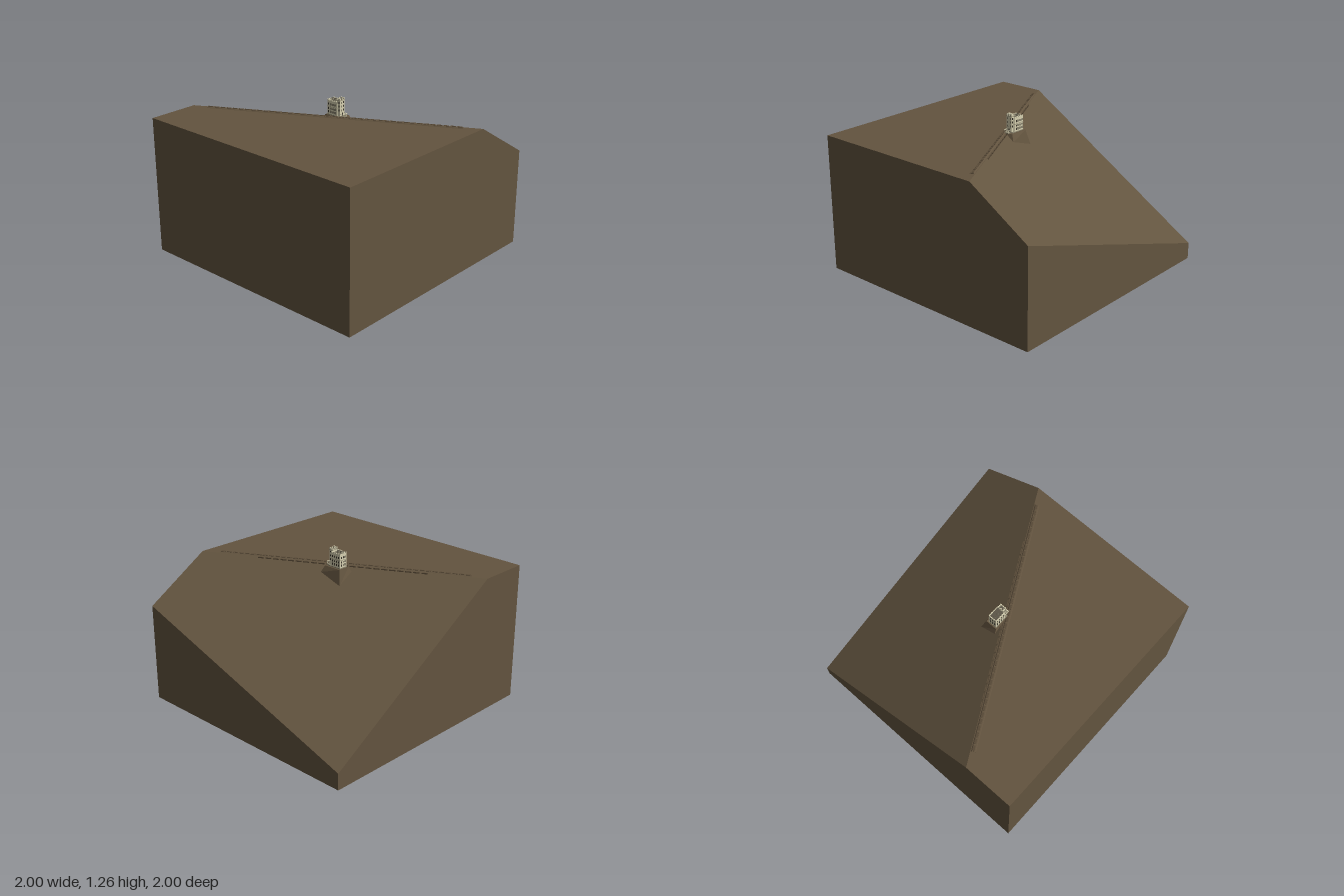
import * as THREE from 'three';

const paint = (name, color) => {
  const m = new THREE.MeshStandardMaterial({ color });
  m.name = name;
  return m;
};

const TOP = 1.11;
const ridgeZ = (x) => 0.055 - 0.535 * x;
// Ground height: flat in front of the ridge, falling away behind it
const groundY = (x, z) => TOP - Math.max(0, ridgeZ(x) - z) * 0.615;

// Flat-faced solid from corner points and counter-clockwise polygons
function solid(points, faces) {
  const pos = [];
  for (const f of faces)
    for (let i = 1; i < f.length - 1; i++)
      pos.push(...points[f[0]], ...points[f[i]], ...points[f[i + 1]]);
  const g = new THREE.BufferGeometry();
  g.setAttribute('position', new THREE.Float32BufferAttribute(pos, 3));
  g.computeVertexNormals();
  return g;
}

export function createModel() {
  const earth = paint('earth', 0x63543f);
  const bankEarth = paint('bankEarth', 0x574936);
  const plaster = paint('plaster', 0xd6d0b0);
  const stone = paint('stone', 0x8d8770);
  const glass = paint('darkOpening', 0x3a352b);
  const roofing = paint('roofing', 0x5c5648);

  const model = new THREE.Group();
  const add = (parent, name, geo, mat, x = 0, y = 0, z = 0) => {
    const m = new THREE.Mesh(geo, mat);
    m.name = name;
    m.position.set(x, y, z);
    parent.add(m);
    return m;
  };
  // Box given by its limits
  const block = (parent, name, mat, x0, x1, y0, y1, z0, z1) =>
    add(parent, name, new THREE.BoxGeometry(x1 - x0, y1 - y0, z1 - z0), mat,
      (x0 + x1) / 2, (y0 + y1) / 2, (z0 + z1) / 2);

  // Hill block with a diagonal ridge
  const hill = [
    [-1, 0, 1], [1, 0, 1], [1, 0, -1], [-1, 0, -1],
    [-1, TOP, 1], [1, TOP, 1], [1, TOP, ridgeZ(1)], [-1, TOP, ridgeZ(-1)],
    [1, groundY(1, -1), -1], [-1, groundY(-1, -1), -1],
  ];
  add(model, 'hill', solid(hill, [
    [0, 1, 5, 4], [1, 2, 8, 6, 5], [2, 3, 9, 8], [3, 0, 4, 7, 9],
    [4, 5, 6, 7], [7, 6, 8, 9], [3, 2, 1, 0],
  ]), earth);

  // Sloped earth footing carrying the house out over the slope
  const ring = (x0, x1, z0, z1, h) =>
    [[x0, z1], [x1, z1], [x1, z0], [x0, z0]].map(([x, z]) => [x, h(x, z), z]);
  const footing = [
    ...ring(-0.115, 0.085, -0.07, 0.065, (x, z) => groundY(x, z) - 0.002),
    ...ring(-0.088, 0.065, -0.042, 0.055, () => TOP + 0.002),
  ];
  const footingFaces = [[4, 5, 6, 7]];
  for (let i = 0; i < 4; i++) {
    const j = (i + 1) % 4;
    footingFaces.push([i, j, j + 4, i + 4]);
  }
  add(model, 'footing', solid(footing, footingFaces), earth);

  // Low bank following the ridge, with a broken crest
  const bank = new THREE.Group();
  bank.name = 'ridgeBank';
  bank.position.set(0, TOP, 0.08);
  bank.rotation.y = Math.atan(0.535);
  model.add(bank);
  const profile = new THREE.Shape([
    new THREE.Vector2(-0.02, -0.002), new THREE.Vector2(0.02, -0.002),
    new THREE.Vector2(0.01, 0.007), new THREE.Vector2(-0.014, 0.007),
  ]);
  const bankGeo = new THREE.ExtrudeGeometry(profile, { depth: 2, bevelEnabled: false });
  bankGeo.translate(0, 0, -1).rotateY(-Math.PI / 2).rotateY(Math.PI);
  add(bank, 'bank', bankGeo, earth);
  for (let i = 0; i < 40; i++) {
    const x = -0.975 + i * 0.05;
    block(bank, 'crestStone', bankEarth, x - 0.019, x + 0.019, 0, 0.01, -0.01, 0.006);
  }
  // Shorter broken course just below the edge of the slope
  for (let i = 0; i < 22; i++) {
    const x = -0.65 + i * 0.062;
    block(bank, 'lowerCourse', bankEarth, x - 0.024, x + 0.024, -0.015, 0.001, -0.034, -0.026);
  }

  // House
  const house = new THREE.Group();
  house.name = 'house';
  house.position.y = TOP;
  model.add(house);
  const X0 = -0.077, X1 = 0.02, Z0 = -0.026, Z1 = 0.046, H = 0.108;
  block(house, 'plinth', stone, X0 - 0.003, 0.046, 0, 0.008, Z0 - 0.003, Z1 + 0.003);
  block(house, 'mainBody', plaster, X0, X1, 0, H, Z0, Z1);
  block(house, 'flatRoof', roofing, X0 + 0.005, X1, H, H + 0.003, Z0 + 0.005, Z1 - 0.005);
  block(house, 'stringCourse', stone, X0 - 0.002, X1 + 0.001, 0.066, 0.069, Z0 - 0.002, Z1 + 0.002);

  // Parapet with battlements
  for (const z of [Z0, Z1 - 0.005]) {
    block(house, 'parapet', plaster, X0, X1, H, H + 0.008, z, z + 0.005);
    for (let i = 0; i < 5; i++) {
      const x = X0 + i * 0.0205;
      block(house, 'battlement', plaster, x, x + 0.012, H + 0.008, H + 0.016, z, z + 0.005);
    }
  }
  block(house, 'endParapet', plaster, X0, X0 + 0.005, H, H + 0.008, Z0, Z1);
  for (const z of [0, 0.02])
    block(house, 'battlement', plaster, X0, X0 + 0.005, H + 0.008, H + 0.016, z, z + 0.011);

  // Chimneys
  for (const x of [-0.055, -0.025]) {
    block(house, 'chimney', stone, x - 0.005, x + 0.005, H, 0.127, 0.005, 0.017);
    block(house, 'chimneyCap', roofing, x - 0.006, x + 0.006, 0.127, 0.13, 0.004, 0.018);
  }

  // Tower
  const T = { x0: 0.01, x1: 0.044, z0: -0.016, z1: 0.036 };
  block(house, 'tower', plaster, T.x0, T.x1, 0, 0.134, T.z0, T.z1);
  block(house, 'towerCornice', stone, T.x0 - 0.002, T.x1 + 0.002, 0.128, 0.132, T.z0 - 0.002, T.z1 + 0.002);
  block(house, 'towerRoof', roofing, T.x0 + 0.004, T.x1 - 0.004, 0.134, 0.136, T.z0 + 0.004, T.z1 - 0.004);
  for (const x of [T.x0, 0.022, T.x1 - 0.009])
    for (const z of [T.z0, 0.006, T.z1 - 0.009])
      if (x !== 0.022 || z !== 0.006)
        block(house, 'towerBattlement', plaster, x, x + 0.009, 0.134, 0.147, z, z + 0.009);

  // Openings as thin plates on every wall
  const rows = [[0.018, 0.018], [0.045, 0.015], [0.08, 0.016]];
  for (const [y, h] of rows) {
    for (const x of [-0.064, -0.041, -0.018, 0.001]) {
      for (const z of [Z0, Z1])
        block(house, 'window', glass, x - 0.0045, x + 0.0045, y, y + h, z - 0.001, z + 0.001);
    }
    for (const z of [-0.01, 0.01, 0.03])
      block(house, 'endWindow', glass, X0 - 0.001, X0 + 0.001, y, y + h, z - 0.0045, z + 0.0045);
  }
  for (const y of [0.045, 0.076, 0.105]) {
    for (const z of [-0.003, 0.022])
      block(house, 'towerWindow', glass, T.x1 - 0.001, T.x1 + 0.001, y, y + 0.015, z - 0.004, z + 0.004);
    for (const z of [T.z0, T.z1])
      block(house, 'towerWindow', glass, 0.028, 0.037, y, y + 0.015, z - 0.001, z + 0.001);
  }

  // Side porch with terrace, posts and rail
  block(house, 'terrace', stone, T.x1, 0.074, 0, 0.006, -0.012, 0.036);
  for (const z of [-0.01, 0.012, 0.034])
    block(house, 'porchPost', plaster, 0.069, 0.073, 0.006, 0.025, z - 0.002, z + 0.002);
  block(house, 'porchRail', plaster, 0.068, 0.074, 0.025, 0.028, -0.013, 0.037);
  for (const z of [-0.01, 0.034])
    block(house, 'sideRail', plaster, T.x1, 0.07, 0.025, 0.028, z - 0.002, z + 0.002);
  block(house, 'door', glass, T.x1 - 0.001, T.x1 + 0.001, 0.008, 0.032, 0.004, 0.016);

  return model;
}
